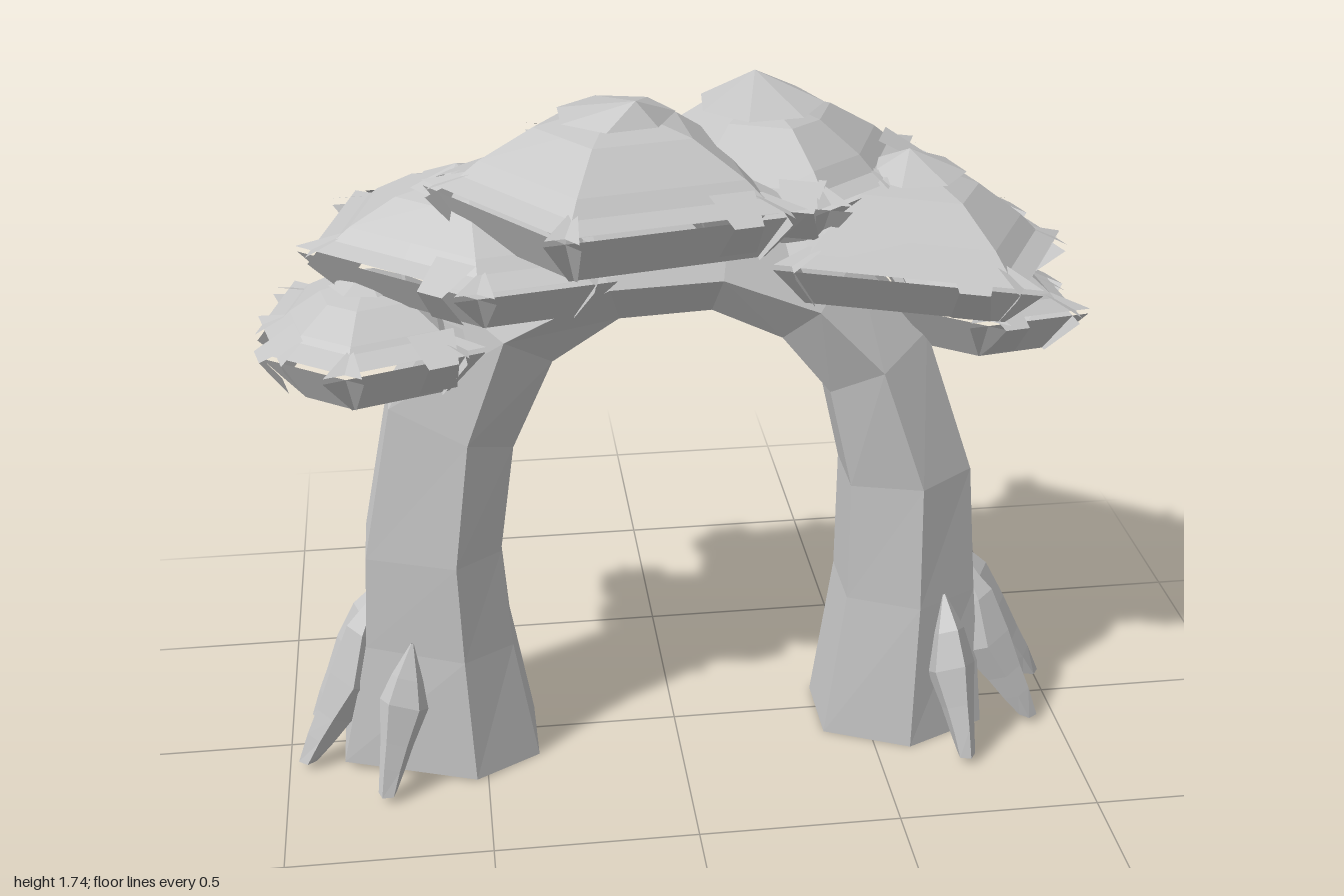
import * as THREE from 'three';

const stone = new THREE.MeshStandardMaterial({ color: 0xc6c6c6, flatShading: true, side: THREE.DoubleSide });
stone.name = 'paleGrey';

// faceted mesh from a list of quads, each given as four [x, y, z] corners
function quadMesh(name, quads) {
  const pos = [];
  for (const [a, b, c, d] of quads) pos.push(...a, ...b, ...c, ...a, ...c, ...d);
  const g = new THREE.BufferGeometry();
  g.setAttribute('position', new THREE.Float32BufferAttribute(pos, 3));
  g.computeVertexNormals();
  const m = new THREE.Mesh(g, stone);
  m.name = name;
  return m;
}

// open skin between successive closed rings
function loft(name, rings) {
  const quads = [];
  const n = rings[0].length;
  for (let i = 0; i + 1 < rings.length; i++) {
    for (let j = 0; j < n; j++) {
      const k = (j + 1) % n;
      quads.push([rings[i][j], rings[i][k], rings[i + 1][k], rings[i + 1][j]]);
    }
  }
  return quadMesh(name, quads);
}

// hollow arch trunk: inner x, y, outer x, y, position of the front ridge, half depth
const ARCH = [
  [-0.365, 0, -0.86, 0.02, 0.67, 0.22], [-0.42, 0.33, -0.785, 0.35, 0.66, 0.19],
  [-0.44, 0.6, -0.77, 0.6, 0.66, 0.18], [-0.40, 0.88, -0.69, 1.0, 0.62, 0.165],
  [-0.30, 1.10, -0.53, 1.27, 0.5, 0.16], [-0.14, 1.2, -0.2, 1.42, 0.55, 0.15],
  [0.08, 1.21, 0.12, 1.43, 0.55, 0.15], [0.25, 1.13, 0.42, 1.33, 0.55, 0.16],
  [0.37, 0.98, 0.6, 1.13, 0.5, 0.165], [0.43, 0.72, 0.73, 0.75, 0.45, 0.175],
  [0.43, 0.4, 0.76, 0.4, 0.48, 0.185], [0.38, 0, 0.8, 0, 0.5, 0.21],
];

function makeTrunk() {
  return loft('archTrunk', ARCH.map(([xi, yi, xo, yo, f, d]) => {
    const mx = xo + (xi - xo) * f, my = yo + (yi - yo) * f;
    const front = d / 2 + 0.01, back = 0.015 - d / 2;
    return [[xo, yo, front], [mx, my, d], [xi, yi, front], [xi, yi, back], [mx, my, -d], [xo, yo, back]];
  }));
}

// root: pointed where it leaves the trunk, thick at the hip, bending out to a thin foot
function makeRoot([tx, ty, tz], [fx, fz]) {
  const steps = [[0, ty, 0.004], [0.2, ty * 0.78, 0.04], [0.34, 0.23, 0.062], [0.62, 0.14, 0.042], [0.8, 0.08, 0.032], [0.97, 0.02, 0.024], [0.97, 0.015, 0]];
  return loft('root', steps.map(([t, y, r]) => {
    const x = tx + (fx - tx) * t, z = tz + (fz - tz) * t;
    return Array.from({ length: 5 }, (_, i) => {
      const a = (i / 5) * Math.PI * 2;
      const b = a + Math.atan2(fz - tz, fx - tx);
      return [x + r * Math.cos(b), y + (y > 0.05 ? r * 0.6 * Math.cos(a) : 0), z + r * Math.sin(b)];
    });
  }));
}

const ROOTS = [
  [[-0.75, 0.47, 0.04], [-0.96, 0.1]], [[-0.67, 0.38, 0.15], [-0.755, 0.27]],
  [[-0.74, 0.44, -0.07], [-0.93, -0.1]], [[-0.68, 0.42, -0.15], [-0.79, -0.27]],
  [[0.67, 0.42, 0.15], [0.72, 0.29]], [[0.74, 0.46, 0.05], [0.93, 0.13]],
  [[0.75, 0.45, -0.06], [0.99, -0.07]], [[0.68, 0.43, -0.15], [0.76, -0.29]],
];

// canopies: middle x, z, rim height, peak height, cap radius, skirt depth, sideways slope, peak lean [x, z], rim corners [x, z]
const CANOPIES = [
  { name: 'topLeftCanopy', at: [-0.14, 0.04], rim: 1.535, top: 1.74, cap: 0.14, drop: 0.115, slope: -0.03, lean: [0.04, 0.08],
    corners: [[-0.28, 0.42], [0.2, 0.29], [0.17, -0.1], [-0.06, -0.24], [-0.27, -0.29], [-0.53, 0.1]] },
  { name: 'topRightCanopy', at: [0.21, -0.06], rim: 1.515, top: 1.72, cap: 0.15, drop: 0.115, slope: -0.04, lean: [0, -0.08],
    corners: [[0.03, 0.14], [0.32, 0.22], [0.48, 0.08], [0.58, -0.18], [0.2, -0.44], [-0.04, -0.21]] },
  { name: 'midRightCanopy', at: [0.56, 0.03], rim: 1.36, top: 1.57, cap: 0.125, drop: 0.1, slope: -0.09, lean: [-0.01, 0],
    corners: [[0.25, 0.28], [0.73, 0.36], [0.89, 0.05], [0.81, -0.2], [0.58, -0.26], [0.28, -0.12]] },
  { name: 'midLeftCanopy', at: [-0.48, -0.03], rim: 1.375, top: 1.56, cap: 0.13, drop: 0.1, slope: 0, lean: [-0.02, 0],
    corners: [[-0.82, 0.02], [-0.47, 0.31], [-0.22, 0.26], [-0.14, -0.18], [-0.38, -0.33], [-0.74, -0.29]] },
  { name: 'lowLeftCanopy', at: [-0.72, 0.02], rim: 1.19, top: 1.33, cap: 0.09, drop: 0.11, slope: 0.03, lean: [0, 0],
    corners: [[-0.95, 0.0], [-0.91, 0.18], [-0.77, 0.29], [-0.52, 0.22], [-0.54, -0.12], [-0.9, -0.19]] },
  { name: 'lowRightCanopy', at: [0.77, -0.03], rim: 1.18, top: 1.3, cap: 0.09, drop: 0.11, slope: -0.12, lean: [0, 0],
    corners: [[0.94, 0.09], [0.72, 0.18], [0.58, 0.12], [0.6, -0.24], [0.87, -0.22], [0.93, -0.07]] },
];

function makeCanopy({ name, at: [cx, cz], rim, top, cap, drop, slope, lean, corners }, index) {
  const group = new THREE.Group();
  group.name = name;
  const n = corners.length;
  const tilt = (x, y, z) => [x, y + slope * (x - cx), z];

  // faceted dome, with a point at each corner and each edge middle
  const outline = corners.flatMap((c, i) => {
    const d = corners[(i + 1) % n];
    return [c, [(c[0] + d[0]) / 2, (c[1] + d[1]) / 2]];
  });
  const rise = top - rim;
  const ring = (t, h) => outline.map(([x, z]) => tilt(cx + (x - cx) * t, rim + rise * h, cz + (z - cz) * t));
  group.add(loft('dome', [ring(1, 0), ring(0.8, 0.3), ring(0.48, 0.64), ring(0.22, 0.76), ring(0, 0.8)]));

  // shallow overhanging cap, its peak pulled to one side
  const brim = Array.from({ length: 7 }, (_, i) => {
    const a = (i / 7) * Math.PI * 2 + index;
    return [cx + cap * Math.cos(a), top - rise * 0.26, cz + cap * Math.sin(a)];
  });
  const peak = [cx + lean[0], top, cz + lean[1]];
  group.add(loft('cap', [brim, brim.map(() => peak)]));

  const plates = [], tiles = [];
  corners.forEach(([ax, az], i) => {
    const [bx, bz] = corners[(i + 1) % n];
    const len = Math.hypot(bx - ax, bz - az), dx = (bx - ax) / len, dz = (bz - az) / len;
    const mx = (ax + bx) / 2, mz = (az + bz) / 2;
    const side = Math.sign((mx - cx) * dz - (mz - cz) * dx) || 1;
    const nx = dz * side, nz = -dx * side;
    // point on the edge: distance along it, outward offset, height above the rim
    const p = (s, o, y) => tilt(ax + dx * s + nx * o, rim + y, az + dz * s + nz * o);
    const strip = (list, s0, s1, o0, y0, inset, o1, y1) => list.push(
      [p(s0, o0, y0), p(s1, o0, y0), p(s1 - inset, o1, y1), p(s0 + inset, o1, y1)]);
    const e = 0.06;
    // leaning skirt, overlapping its neighbours at the corners
    strip(plates, -e, len + e, 0.015, -0.005, e + 0.015, -0.04, -drop);
    // thin eave above the skirt
    strip(plates, -e, len + e, 0.02, 0.01, e + 0.02, -0.05, 0.035);

    // tile hung over the rim on every other edge, narrowing to its outer end
    if (i % 2) return;
    const s = len * 0.8, w = 0.035;
    strip(tiles, s - w, s + w, 0.06, 0.0, -0.02, -0.04, 0.045);
    strip(tiles, s - w, s + w, 0.06, 0.0, -0.01, 0.0, -0.085);
  });
  group.add(quadMesh('skirtPlates', plates), quadMesh('rimTiles', tiles));
  return group;
}

export function createModel() {
  const model = new THREE.Group();
  model.name = 'treeArch';
  model.add(makeTrunk());
  for (const [start, foot] of ROOTS) model.add(makeRoot(start, foot));
  CANOPIES.forEach((c, i) => model.add(makeCanopy(c, i)));
  return model;
}
